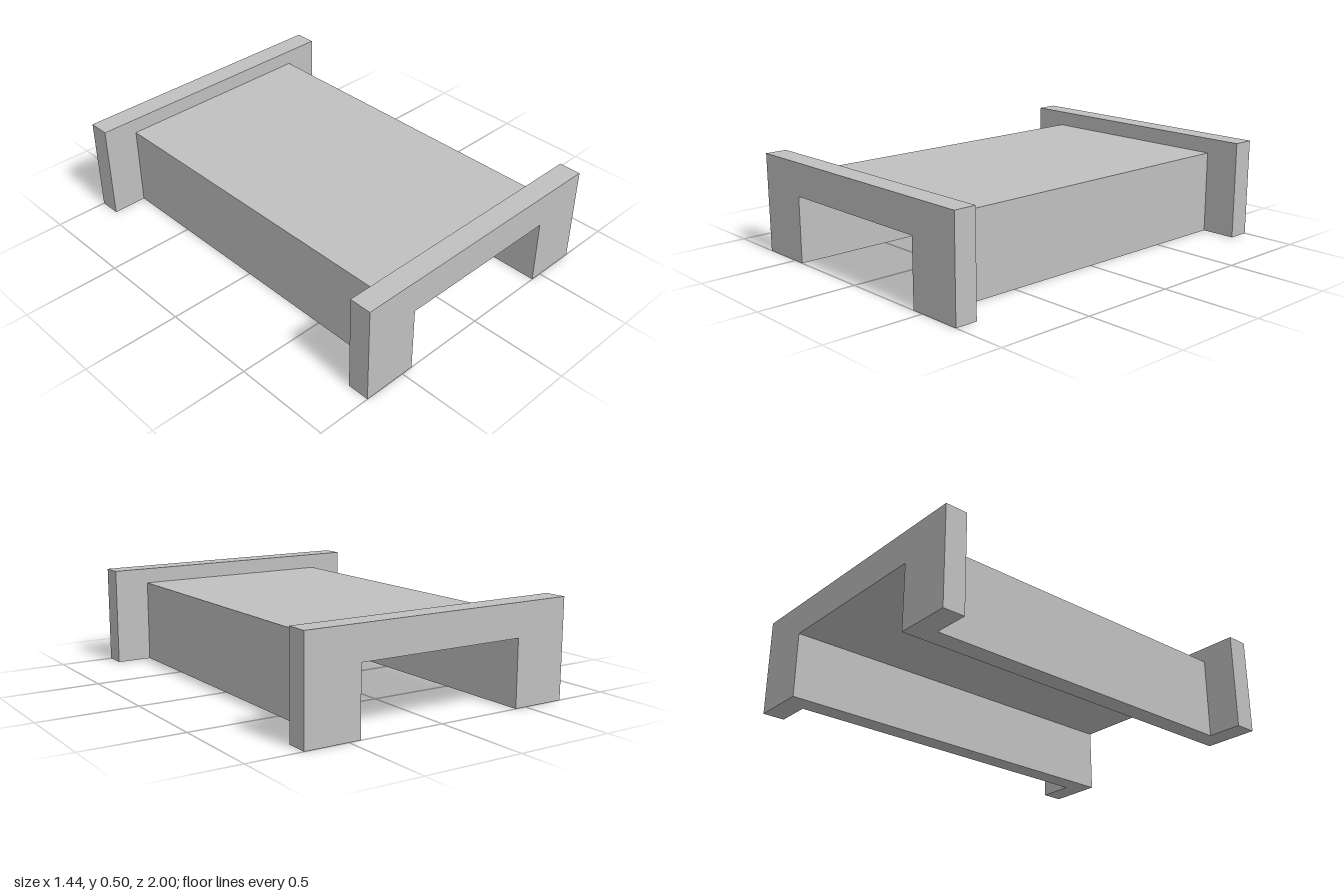
import * as THREE from 'three';

const LENGTH = 2, FLANGE = 0.113;     // overall depth and end flange thickness
const OPEN_X = 0.44, OPEN_Y = 0.335;  // half width and height of the tunnel

// Upside-down U profile extruded along z, centred on z
function channel(name, halfWidth, height, depth, z, material) {
  const shape = new THREE.Shape([
    [-halfWidth, 0], [-OPEN_X, 0], [-OPEN_X, OPEN_Y], [OPEN_X, OPEN_Y],
    [OPEN_X, 0], [halfWidth, 0], [halfWidth, height], [-halfWidth, height],
  ].map(([x, y]) => new THREE.Vector2(x, y)));
  const geometry = new THREE.ExtrudeGeometry(shape, { depth, bevelEnabled: false });
  geometry.translate(0, 0, z - depth / 2);
  const mesh = new THREE.Mesh(geometry, material);
  mesh.name = name;
  return mesh;
}

export function createModel() {
  const group = new THREE.Group();
  group.name = 'culvert';
  const grey = new THREE.MeshStandardMaterial({ color: 0xc0c0c0 });
  grey.name = 'light grey';

  // Long body between two larger end flanges
  const flangeZ = (LENGTH - FLANGE) / 2;
  group.add(
    channel('body', 0.54, 0.424, LENGTH - 2 * FLANGE, 0, grey),
    channel('frontFlange', 0.722, 0.502, FLANGE, flangeZ, grey),
    channel('backFlange', 0.722, 0.502, FLANGE, -flangeZ, grey),
  );
  return group;
}
